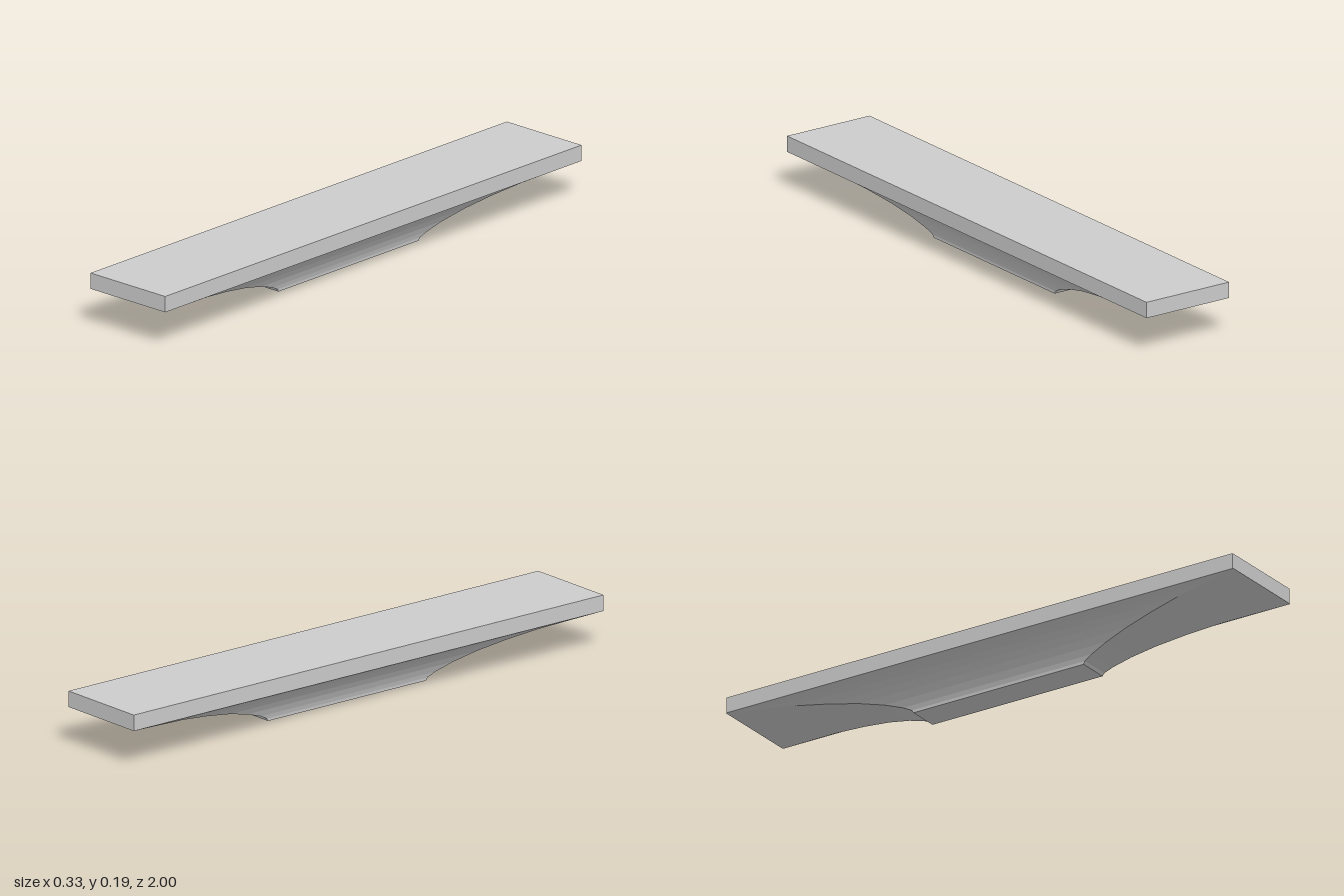
import * as THREE from 'three';

export function createModel() {
  const group = new THREE.Group();
  const material = new THREE.MeshStandardMaterial({ color: 0xcccccc, flatShading: true });

  // Flat rectangular slab
  const slab = new THREE.Mesh(new THREE.BoxGeometry(0.334, 0.055, 2), material);
  slab.name = 'slab';
  slab.position.y = 0.1575;
  group.add(slab);

  // Concave flared base: half width and height of each rectangular section
  const profile = [
    [0, 0], [0.056, 0], [0.057, 0.01], [0.062, 0.025], [0.073, 0.048], [0.088, 0.071],
    [0.106, 0.091], [0.126, 0.108], [0.146, 0.119], [0.167, 0.13],
  ].map(([x, y]) => new THREE.Vector2(x * Math.SQRT2, y));

  // Four-sided lathe turned square to the axes and stretched lengthways
  const flare = new THREE.LatheGeometry(profile, 4)
    .rotateY(Math.PI / 4)
    .scale(1, 1, 6)
    .toNonIndexed();
  flare.computeVertexNormals();
  const base = new THREE.Mesh(flare, material);
  base.name = 'flaredBase';
  group.add(base);

  return group;
}
